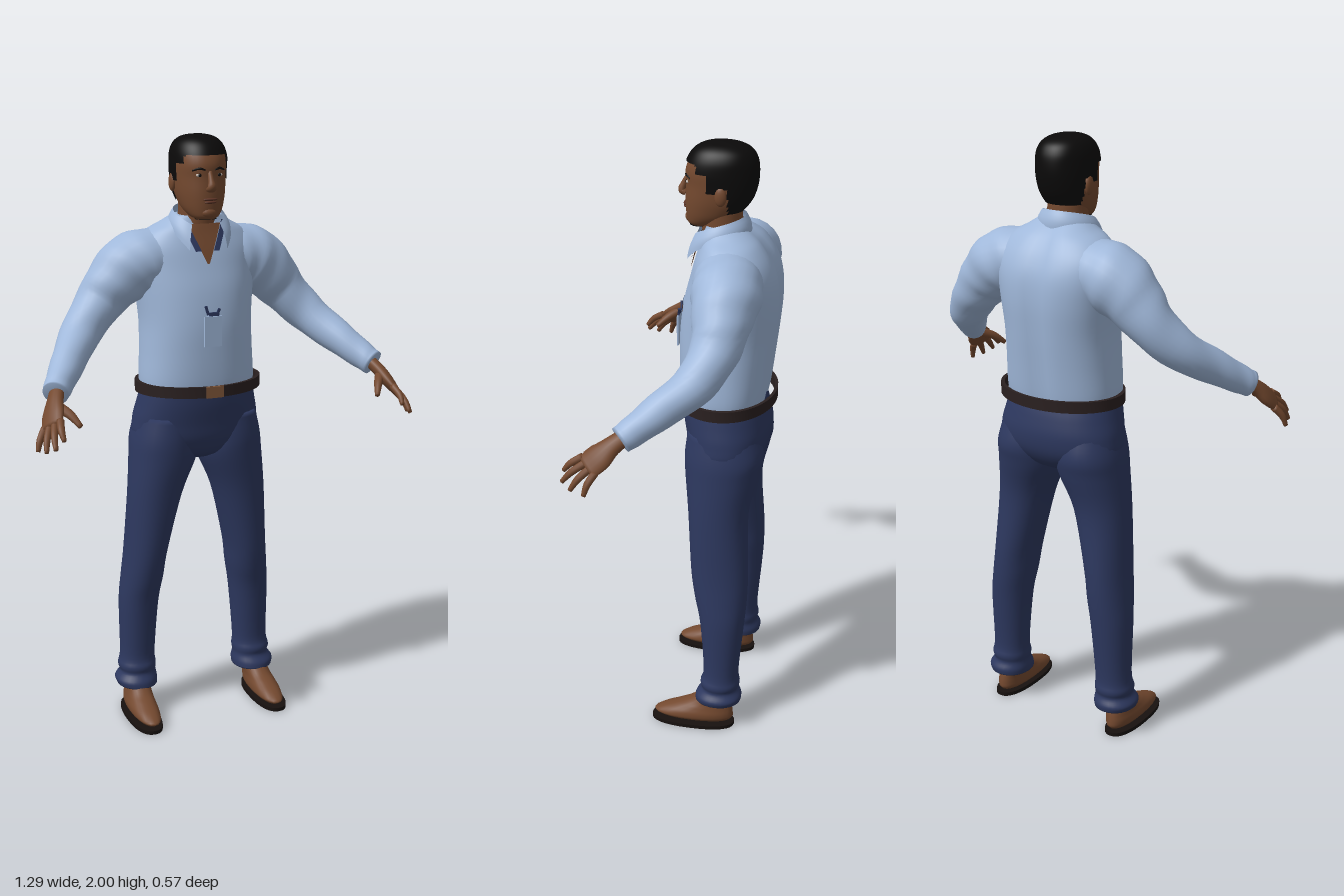
import * as THREE from 'three';
import { toCreasedNormals } from 'three/addons/utils/BufferGeometryUtils.js';

const V = (x, y, z) => new THREE.Vector3(x, y, z);
const mat = (name, color) => new THREE.MeshStandardMaterial({ name, color, side: THREE.DoubleSide });

// Skin a stack of rings; keep(a, b, c, d) may reject quads
function skinRings(rings, caps = true, keep = null) {
  const n = rings[0].length, pos = [], idx = [];
  rings.forEach(r => r.forEach(p => pos.push(p.x, p.y, p.z)));
  for (let i = 0; i < rings.length - 1; i++) for (let j = 0; j < n; j++) {
    const k = (j + 1) % n, a = i * n + j, b = i * n + k, c = a + n, d = b + n;
    if (keep && !keep(rings[i][j].clone().add(rings[i + 1][k]).multiplyScalar(0.5))) continue;
    idx.push(a, c, b, b, c, d);
  }
  if (caps) [0, rings.length - 1].forEach(i => {
    const m = rings[i].reduce((s, p) => s.add(p), V(0, 0, 0)).divideScalar(n), o = pos.length / 3;
    pos.push(m.x, m.y, m.z);
    for (let j = 0; j < n; j++) {
      const a = i * n + j, b = i * n + (j + 1) % n;
      i ? idx.push(a, o, b) : idx.push(a, b, o);
    }
  });
  const g = new THREE.BufferGeometry();
  g.setAttribute('position', new THREE.Float32BufferAttribute(pos, 3));
  g.setIndex(idx);
  g.computeVertexNormals();
  return g;
}

// Horizontal sections, bottom to top: [centre x, y, half width, front z, back z]
function loft(secs, { n = 32, steps = 5, p = 2, caps = true, keep = null, warp = null, grow = 0 } = {}) {
  const A = new THREE.CatmullRomCurve3(secs.map(s => V(s[0], s[1], s[2])), false, 'catmullrom', 0.5);
  const B = new THREE.CatmullRomCurve3(secs.map(s => V(s[3], s[4], 0)), false, 'catmullrom', 0.5);
  const count = (secs.length - 1) * steps, rings = [];
  const pw = v => Math.sign(v) * Math.abs(v) ** (2 / p);
  for (let i = 0; i <= count; i++) {
    const a = A.getPoint(i / count), b = B.getPoint(i / count), ring = [];
    for (let j = 0; j < n; j++) {
      const t = j / n * Math.PI * 2;
      const q = V(a.x + (a.z + grow) * pw(Math.cos(t)), a.y + grow * i / count,
        (b.x + b.y) / 2 + ((b.x - b.y) / 2 + grow) * pw(Math.sin(t)));
      if (warp) warp(q);
      ring.push(q);
    }
    rings.push(ring);
  }
  return skinRings(rings, caps, keep);
}

// Tapered limb along a path: rows are [x, y, z, half width, half thickness], width lies along ref
function limb(rows, s, { n = 16, steps = 5, ref = V(0, 1, 0), ripple = 0 } = {}) {
  const C = new THREE.CatmullRomCurve3(rows.map(r => V(r[0] * s, r[1], r[2])), false, 'catmullrom', 0.5);
  const R = new THREE.CatmullRomCurve3(rows.map(r => V(r[3], r[4] ?? r[3], 0)), false, 'catmullrom', 0.5);
  const count = (rows.length - 1) * steps, rings = [];
  for (let i = 0; i <= count; i++) {
    const u = i / count, T = C.getTangent(u), c = C.getPoint(u), r = R.getPoint(u);
    const N = ref.clone().addScaledVector(T, -T.dot(ref)).normalize(), B = N.clone().cross(T);
    rings.push(Array.from({ length: n }, (_, j) => {
      const a = j / n * Math.PI * 2, w = 1 + ripple * Math.sin(u * 45 + 2 * a);
      return c.clone().addScaledVector(N, r.x * w * Math.cos(a)).addScaledVector(B, r.y * w * Math.sin(a));
    }));
  }
  return skinRings(rings);
}

// Open sheet from a rule f(u, v)
function sheet(nu, nv, f) {
  const g = new THREE.PlaneGeometry(1, 1, nu, nv), P = g.attributes.position;
  for (let i = 0; i < P.count; i++) {
    const q = f(P.getX(i) + 0.5, P.getY(i) + 0.5);
    P.setXYZ(i, q.x, q.y, q.z);
  }
  g.computeVertexNormals();
  return g;
}

const TORSO = [
  [0, 1.15, 0.188, 0.025, -0.245], [0, 1.2, 0.195, 0.033, -0.255], [0, 1.3, 0.19, 0.036, -0.268],
  [0, 1.4, 0.188, 0.035, -0.28], [0, 1.5, 0.198, 0.022, -0.288], [0, 1.58, 0.208, 0.002, -0.283],
  [0, 1.64, 0.205, -0.014, -0.262], [0, 1.69, 0.165, -0.03, -0.23], [0, 1.72, 0.115, -0.038, -0.2],
  [0, 1.745, 0.08, -0.042, -0.165]];
const TORSO_P = 2.3;
function chestZ(x, y) {
  const i = Math.max(1, TORSO.findIndex(s => s[1] >= y)), a = TORSO[i - 1], b = TORSO[i];
  const t = (y - a[1]) / (b[1] - a[1]), m = k => a[k] + (b[k] - a[k]) * t;
  const f = Math.max(0, 1 - Math.abs(x / m(2)) ** TORSO_P) ** (1 / TORSO_P);
  return (m(3) + m(4)) / 2 + (m(3) - m(4)) / 2 * f;
}

const HEAD = [
  [0, 1.737, 0.03, 0.004, -0.05], [0, 1.747, 0.048, 0.016, -0.09], [0, 1.77, 0.064, 0.02, -0.135],
  [0, 1.8, 0.074, 0.022, -0.165], [0, 1.83, 0.08, 0.022, -0.185], [0, 1.87, 0.083, 0.02, -0.197],
  [0, 1.91, 0.084, 0.022, -0.2], [0, 1.945, 0.08, 0.01, -0.195], [0, 1.972, 0.066, -0.01, -0.178],
  [0, 1.988, 0.042, -0.04, -0.145], [0, 1.994, 0.01, -0.078, -0.1]];
// Hairline: fringe, temple, sideburn, above the ear, nape
function isHair({ y, z }) {
  const low = z > -0.02 ? 1.94 : z > -0.055 ? 1.915 : z > -0.083 ? 1.855 : z > -0.12 ? 1.875 : 1.79;
  return y > low;
}

export function createModel() {
  const root = new THREE.Group();
  const shirt = mat('shirtBlue', 0xa0b8da), navy = mat('trouserNavy', 0x2d385f), skin = mat('skin', 0x74492f),
    hair = mat('hairBlack', 0x0b0a0a), leather = mat('beltLeather', 0x2a2020), brass = mat('buckleBrown', 0x80573a),
    rubber = mat('soleBlack', 0x17110f), lip = mat('lipBrown', 0x5c3426), white = mat('eyeWhite', 0xc8bfb8);
  const add = (name, geo, m, parent = root) => {
    const o = new THREE.Mesh(geo, m);
    o.name = name;
    parent.add(o);
    return o;
  };
  const blob = (name, m, x, y, z, rx, ry, rz) => {
    const o = add(name, new THREE.SphereGeometry(1, 16, 12), m);
    o.position.set(x, y, z);
    o.scale.set(rx, ry, rz);
    return o;
  };
  const box = (name, m, x, y, z, w, h, d) => {
    const o = add(name, new THREE.BoxGeometry(w, h, d), m);
    o.position.set(x, y, z);
    return o;
  };

  // Shirt body with a shallow spine groove
  add('shirtBody', loft(TORSO, {
    n: 48, p: TORSO_P,
    warp: q => { if (q.z < -0.15) q.z += 0.014 * Math.exp(-((q.x / 0.035) ** 2)); }
  }), shirt);

  // Open neckline: bare chest and dark lining
  const vee = y => 0.004 + (y - 1.595) * 0.42;
  add('bareChest', sheet(8, 10, (u, v) => {
    const y = 1.595 + 0.125 * v, x = (2 * u - 1) * vee(y);
    return V(x, y, chestZ(x, y) + 0.008);
  }), skin);
  for (const s of [1, -1]) add('collarLining', sheet(3, 8, (u, v) => {
    const y = 1.635 + 0.095 * v, x = vee(y) + 0.02 * u;
    return V(s * x, y, chestZ(x, y) + 0.012);
  }), navy);

  // Folded collar, open at the front with two points
  add('collar', sheet(48, 5, (u, v) => {
    const th = (2 * u - 1) * 2.53, k = Math.abs(2 * u - 1), w = 1 - v;
    const r = 0.083 + w * (0.017 + 0.012 * k ** 3) + 0.006 * Math.sin(Math.PI * w);
    const y = (1.775 - 0.055 * k * k) * v + (1.715 - 0.075 * k ** 4) * w;
    return V(Math.sin(th) * r, y, -0.085 - Math.cos(th) * r);
  }), shirt);

  // Badge with clip
  box('badge', shirt, 0, 1.38, 0.045, 0.06, 0.1, 0.006);
  box('badgeClip', navy, 0.004, 1.437, 0.044, 0.034, 0.012, 0.006);
  box('badgeClipPin', navy, -0.02, 1.45, 0.042, 0.008, 0.03, 0.006).rotation.z = 0.3;
  box('badgeClipPin', navy, 0.02, 1.446, 0.042, 0.008, 0.018, 0.006).rotation.z = -0.4;

  // Loose belt and buckle
  const strap = new THREE.LatheGeometry(
    [[0.94, -1], [1, -1], [1, 1], [0.94, 1], [0.94, -1]].map(p => new THREE.Vector2(...p)), 56);
  strap.scale(0.217, 0.0185, 0.165);
  add('belt', toCreasedNormals(strap, 0.6), leather).position.set(0.007, 1.178, -0.115);
  box('buckle', brass, 0.005, 1.178, 0.049, 0.06, 0.038, 0.009);

  // Trouser seat
  add('trouserSeat', loft([
    [0, 0.925, 0.05, -0.06, -0.17], [0, 0.95, 0.14, -0.02, -0.22], [0, 1.0, 0.215, 0.004, -0.255],
    [0, 1.06, 0.218, 0.014, -0.265], [0, 1.12, 0.205, 0.024, -0.255], [0, 1.17, 0.193, 0.028, -0.24]],
  { n: 40, p: 2.2 }), navy);

  const spread = s => V(-0.55 * s, 0.48, 0.68);
  for (const s of [1, -1]) {
    const side = s > 0 ? 'left' : 'right';

    // Trouser leg with a creased hem
    add(side + 'TrouserLeg', loft([
      [0.22, 0.1, 0.07, -0.052, -0.21], [0.222, 0.12, 0.073, -0.056, -0.212], [0.216, 0.145, 0.063, -0.072, -0.2],
      [0.217, 0.17, 0.066, -0.07, -0.205], [0.214, 0.22, 0.061, -0.08, -0.2], [0.207, 0.4, 0.068, -0.066, -0.215],
      [0.195, 0.5, 0.071, -0.045, -0.222], [0.183, 0.6, 0.073, -0.03, -0.222], [0.152, 0.8, 0.092, -0.015, -0.215],
      [0.12, 0.93, 0.114, 0, -0.242], [0.115, 1.0, 0.112, 0.003, -0.255], [0.108, 1.08, 0.1, -0.005, -0.235]
    ].map(r => [r[0] * s, ...r.slice(1)]), { n: 28, p: 2.1 }), navy);

    // Foot and flat sole
    add(side + 'Foot', loft([
      [0.23, 0.02, 0.038, 0.078, -0.175], [0.23, 0.032, 0.047, 0.09, -0.185], [0.23, 0.05, 0.048, 0.06, -0.185],
      [0.228, 0.07, 0.044, 0.01, -0.182], [0.225, 0.09, 0.042, -0.035, -0.178], [0.222, 0.13, 0.04, -0.085, -0.175]
    ].map(r => [r[0] * s, ...r.slice(1)]), { n: 24, p: 2.2 }), skin);
    add(side + 'Sole', toCreasedNormals(loft([
      [0.233 * s, 0, 0.054, 0.098, -0.19], [0.233 * s, 0.013, 0.054, 0.098, -0.19]],
    { n: 32, steps: 1, p: 2.4 }), 0.7), rubber);

    // Sleeve
    add(side + 'Sleeve', limb([
      [0.1, 1.6, -0.13, 0.095, 0.1], [0.16, 1.597, -0.138, 0.103, 0.108], [0.22, 1.573, -0.143, 0.108, 0.108],
      [0.28, 1.523, -0.14, 0.094, 0.092], [0.335, 1.46, -0.132, 0.077, 0.078], [0.41, 1.378, -0.085, 0.065, 0.066],
      [0.48, 1.31, 0.01, 0.055], [0.53, 1.262, 0.08, 0.046], [0.552, 1.242, 0.112, 0.042]],
    s, { n: 24, ripple: 0.018 }), shirt);

    // Hand: palm, four fingers and thumb
    const hand = new THREE.Group();
    hand.name = side + 'Hand';
    root.add(hand);
    const opt = { n: 10, ref: spread(s) };
    add('palm', limb([
      [0.535, 1.26, 0.085, 0.025, 0.021], [0.56, 1.225, 0.135, 0.031, 0.021],
      [0.577, 1.193, 0.17, 0.043, 0.02], [0.592, 1.163, 0.207, 0.042, 0.013]], s, { ...opt, n: 16 }), skin, hand);
    const tips = [[0.575, 1.137, 0.282], [0.602, 1.112, 0.282], [0.623, 1.097, 0.252], [0.638, 1.09, 0.207]];
    tips.forEach((t, i) => {
      const k = V(0.588, 1.17, 0.2).addScaledVector(spread(1), 0.033 - 0.022 * i);
      const m = k.clone().lerp(V(...t), 0.55).add(V(0.004, 0.005, 0.003));
      add('finger', limb([[...k.toArray(), 0.0125], [...m.toArray(), 0.011], [...t, 0.007]], s, opt), skin, hand);
    });
    add('thumb', limb([[0.56, 1.213, 0.152, 0.018], [0.53, 1.193, 0.195, 0.014], [0.508, 1.163, 0.232, 0.008]],
      s, opt), skin, hand);

    // Ear, eye and brow
    blob(side + 'Ear', skin, 0.085 * s, 1.85, -0.1, 0.011, 0.03, 0.019);
    blob(side + 'Eye', white, 0.033 * s, 1.879, 0.01, 0.012, 0.0055, 0.006);
    blob(side + 'Pupil', hair, 0.033 * s, 1.879, 0.0135, 0.006, 0.0055, 0.004);
    add(side + 'Brow', limb([[0.016, 1.895, 0.019, 0.003], [0.034, 1.9, 0.014, 0.004], [0.054, 1.893, 0.0, 0.0025]],
      s, { n: 8 }), hair);
  }

  // Neck, head and short hair
  add('neck', loft([[0, 1.64, 0.066, -0.035, -0.16], [0, 1.72, 0.065, -0.03, -0.158], [0, 1.8, 0.064, -0.025, -0.155]]), skin);
  add('head', loft(HEAD, { n: 40, p: 2.15 }), skin);
  add('hair', loft(HEAD, { n: 72, steps: 8, p: 2.15, grow: 0.006, keep: isHair }), hair);

  // Nose and mouth
  add('nose', limb([[0, 1.89, 0.014, 0.008, 0.008], [0, 1.862, 0.028, 0.01, 0.01], [0, 1.842, 0.035, 0.015, 0.012],
    [0, 1.833, 0.022, 0.016, 0.01]], 1, { n: 12, ref: V(1, 0, 0) }), skin);
  blob('upperLip', lip, 0, 1.803, 0.02, 0.025, 0.005, 0.009);
  blob('lowerLip', lip, 0, 1.794, 0.02, 0.021, 0.005, 0.009);
  blob('chin', skin, 0, 1.76, 0.008, 0.026, 0.017, 0.016);
  return root;
}
